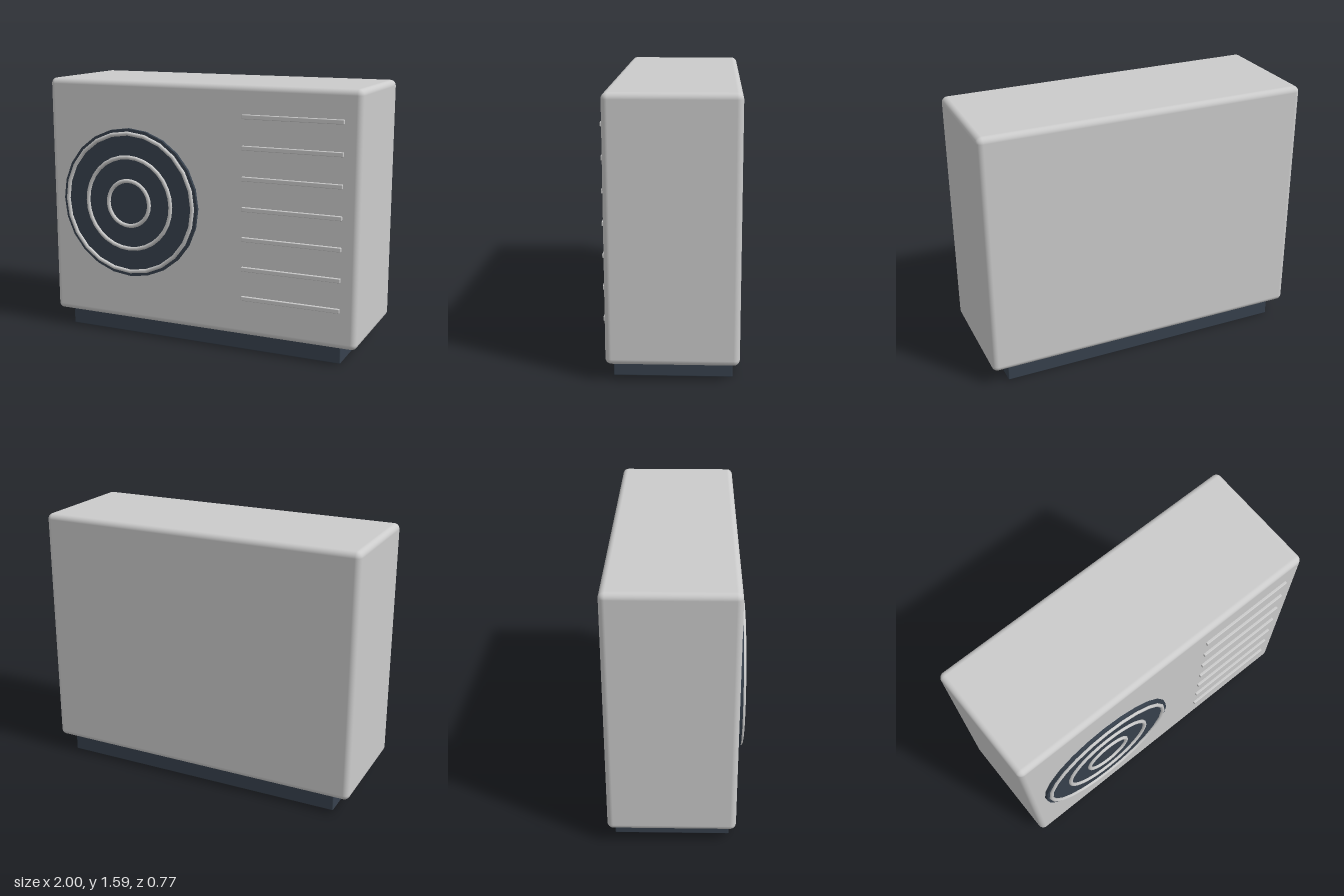
import * as THREE from 'three';
import { RoundedBoxGeometry } from 'three/addons/geometries/RoundedBoxGeometry.js';

export function createModel() {
  const group = new THREE.Group();
  const grey = new THREE.MeshStandardMaterial({ color: 0xcccccc });
  const dark = new THREE.MeshStandardMaterial({ color: 0x37414d });

  const add = (name, geometry, material, x, y, z) => {
    const mesh = new THREE.Mesh(geometry, material);
    mesh.name = name;
    mesh.position.set(x, y, z);
    group.add(mesh);
    return mesh;
  };

  // Cabinet on a recessed plinth
  add('cabinet', new RoundedBoxGeometry(2, 1.49, 0.735, 4, 0.035), grey, 0, 0.845, -0.0175);
  add('plinth', new RoundedBoxGeometry(1.8, 0.11, 0.66, 2, 0.006), dark, 0, 0.055, -0.0175);

  // Fan cover with concentric guard rings
  const fanX = -0.445, fanY = 0.845;
  const disc = new THREE.CylinderGeometry(0.46, 0.46, 0.04, 24).rotateX(Math.PI / 2);
  add('fanCover', disc, dark, fanX, fanY, 0.35);
  [0.43, 0.285, 0.14].forEach((radius, i) => {
    add(`guardRing${i + 1}`, new THREE.TorusGeometry(radius, 0.0125, 8, i === 0 ? 24 : 32), grey, fanX, fanY, 0.3725);
  });

  // Raised louvre slats
  for (let i = 0; i < 7; i++) {
    add(`slat${i + 1}`, new RoundedBoxGeometry(0.605, 0.026, 0.03, 2, 0.004), grey, 0.5975, 0.333 + i * 0.1797, 0.35);
  }
  return group;
}
